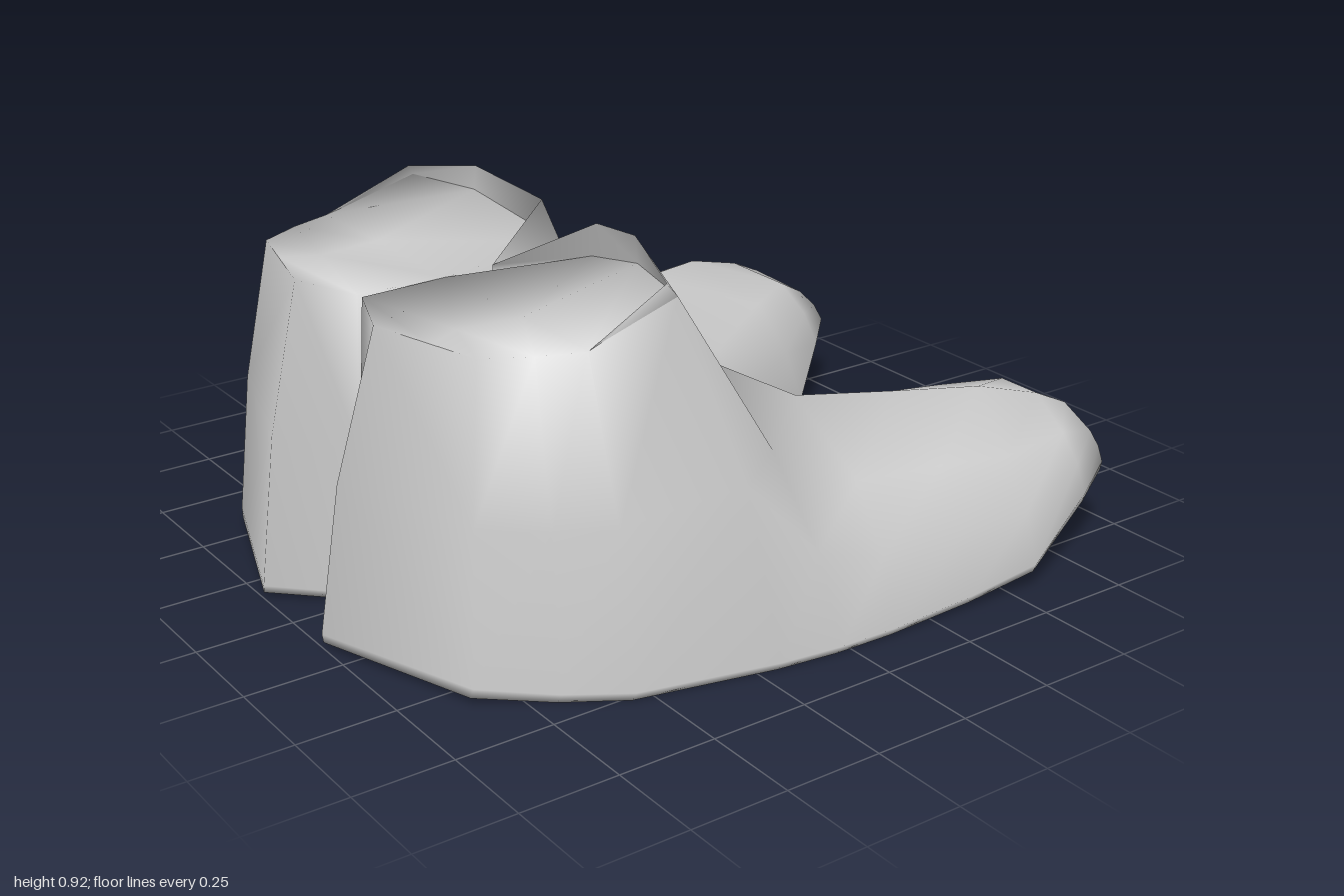
import * as THREE from 'three';

// Cross-sections of one boot from toe to heel:
// inner low x,z | outer low x,z | inner shoulder x,z | outer shoulder x,z | base, inner shoulder, outer shoulder, crown y
const SECTIONS = [
  [0.45, -1.0, 0.78, -0.9, 0.48, -0.94, 0.76, -0.87, 0.19, 0.3, 0.3, 0.33],
  [0.40, -0.94, 0.82, -0.8, 0.46, -0.85, 0.76, -0.77, 0.14, 0.35, 0.32, 0.375],
  [0.26, -0.77, 0.9, -0.56, 0.38, -0.7, 0.77, -0.57, 0.045, 0.34, 0.31, 0.425],
  [0.12, -0.46, 0.89, -0.36, 0.24, -0.45, 0.75, -0.37, 0.015, 0.3, 0.33, 0.44],
  [0.0, -0.18, 0.885, -0.12, 0.12, -0.18, 0.72, -0.13, 0, 0.34, 0.34, 0.465],
  [0.0, 0.07, 0.88, 0.04, 0.07, 0.07, 0.66, 0.08, 0, 0.52, 0.45, 0.59],
  [0.0, 0.17, 0.86, 0.2, 0.07, 0.18, 0.585, 0.3, 0, 0.78, 0.85, 0.855],
  [0.0, 0.55, 0.78, 0.55, 0.0, 0.55, 0.6, 0.55, 0, 0.78, 0.78, 0.78],
  [0.0, 0.81, 0.69, 0.69, 0.01, 0.78, 0.56, 0.66, 0, 0.78, 0.78, 0.78],
  [0.15, 1.0, 0.58, 0.85, 0.19, 0.85, 0.5, 0.77, 0.015, 0.78, 0.78, 0.78],
];

// Raised front of the ankle opening: lower and upper edges
const COLLAR_LOW = [[0.6, 0.77, 0.55], [0.585, 0.85, 0.3], [0.36, 0.855, 0.25], [0.07, 0.78, 0.18], [0, 0.77, 0.42]];
const COLLAR_HIGH = [[0.6, 0.78, 0.55], [0.57, 0.88, 0.32], [0.35, 0.92, 0.25], [0.12, 0.88, 0.2], [0, 0.785, 0.42]];

const mix = (a, b, t) => a.map((v, i) => v + (b[i] - v) * t);

// Loop over the foot: inner sole edge, up, across the crown, down to the outer sole edge
function loop([ax, az, bx, bz, cx, cz, dx, dz, base, innerY, outerY, crown]) {
  const inner = [ax, base + 0.02, az], outer = [bx, base + 0.025, bz];
  const innerTop = [cx, innerY, cz], outerTop = [dx, outerY, dz];
  const side = (low, top) => {
    const p = mix(low, top, 0.35);
    p[1] = (low[1] + top[1]) / 2;
    return p;
  };
  const soleIn = mix(inner, outer, 0.01), soleOut = mix(outer, inner, 0.02);
  soleIn[1] = soleOut[1] = base;
  const mid = mix(innerTop, outerTop, 0.56);
  mid[1] = crown;
  return [soleIn, inner, side(inner, innerTop), innerTop, mid, outerTop, side(outer, outerTop), outer, soleOut];
}

// Smooth mesh from points and quads (a repeated corner makes a triangle); sign mirrors it across x
function surface(name, points, quads, sign, material) {
  const index = [];
  for (const [a, b, c, d] of quads) {
    const tris = c === d ? [[a, b, c]] : [[a, b, c], [a, c, d]];
    for (const t of tris) index.push(...(sign < 0 ? [t[0], t[2], t[1]] : t));
  }
  const geometry = new THREE.BufferGeometry();
  geometry.setAttribute('position', new THREE.Float32BufferAttribute(
    points.flatMap(([x, y, z]) => [x * sign, y, z]), 3));
  geometry.setIndex(index);
  geometry.computeVertexNormals();
  const mesh = new THREE.Mesh(geometry, material);
  mesh.name = name;
  return mesh;
}

function makeBoot(sign, material) {
  const boot = new THREE.Group();
  const loops = SECTIONS.map(loop);
  const n = 9, last = (loops.length - 1) * n;

  // Foot and ankle, closed underneath by the sole
  const skin = [];
  for (let s = 0; s < loops.length - 1; s++) {
    for (let i = 0; i < n; i++) {
      const a = s * n + i, b = s * n + (i + 1) % n;
      skin.push([a, a + n, b + n, b]);
    }
  }
  // Toe and heel ends, each finished by a triangle at the crown
  for (let i = 0; i < 3; i++) {
    skin.push([i, i + 1, 7 - i, 8 - i]);
    skin.push([last + 8 - i, last + 7 - i, last + i + 1, last + i]);
  }
  skin.push([3, 4, 5, 5], [last + 5, last + 4, last + 3, last + 3]);
  boot.add(surface('footAndAnkle', loops.flat(), skin, sign, material));

  // Collar
  const m = COLLAR_LOW.length;
  const collarQuads = COLLAR_LOW.slice(1).map((_, i) => [i, i + 1, m + i + 1, m + i]);
  boot.add(surface('collar', [...COLLAR_LOW, ...COLLAR_HIGH], collarQuads, sign, material));
  return boot;
}

export function createModel() {
  const material = new THREE.MeshStandardMaterial({ color: 0xcccccc, side: THREE.DoubleSide });
  material.name = 'light grey';
  const model = new THREE.Group();
  model.name = 'pairOfBoots';
  for (const [name, sign] of [['leftBoot', 1], ['rightBoot', -1]]) {
    const boot = makeBoot(sign, material);
    boot.name = name;
    model.add(boot);
  }
  return model;
}
